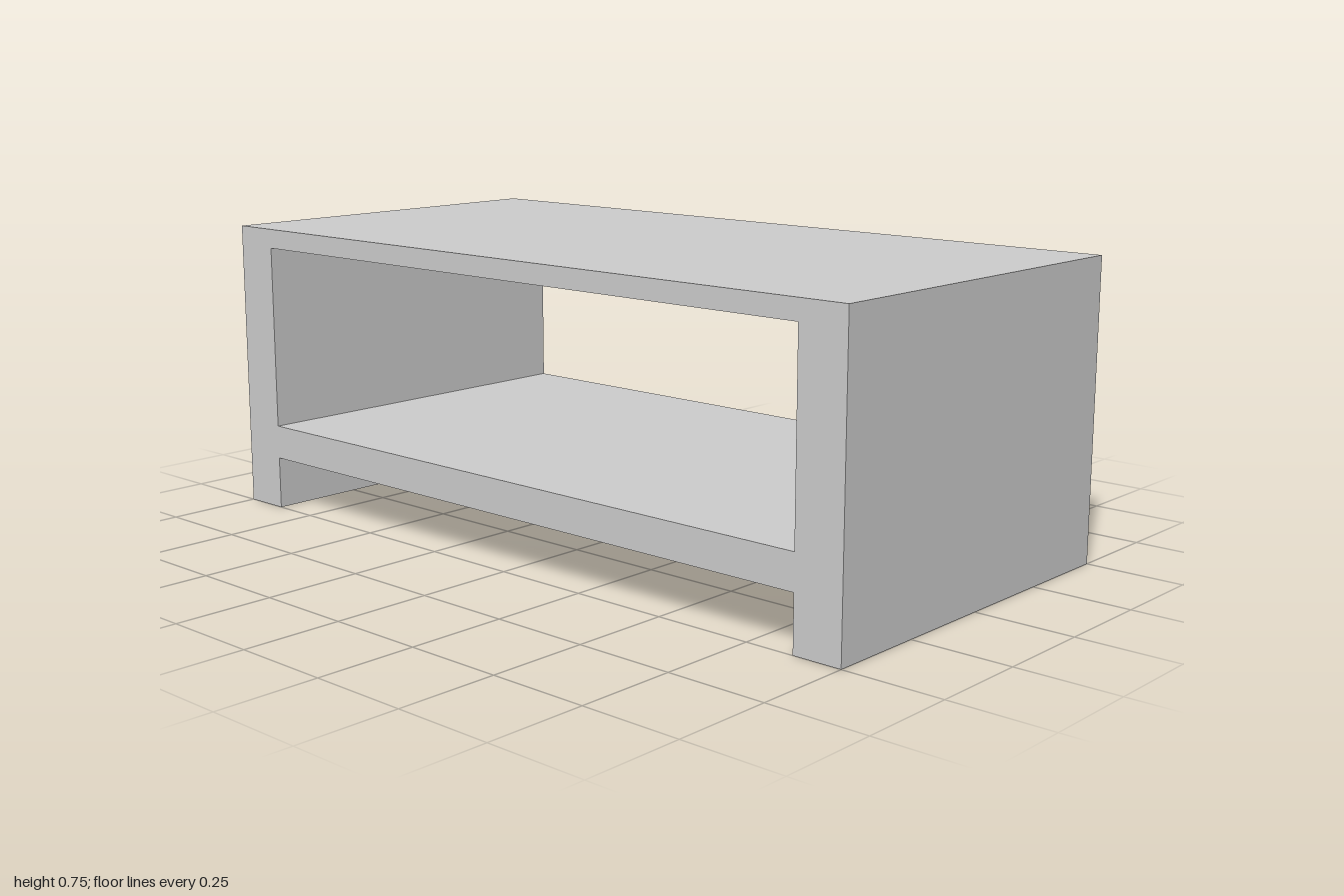
import * as THREE from 'three';

const LENGTH = 2, HEIGHT = 0.755, DEPTH = 1;
const SIDE = 0.125;                        // thickness of the end panels
const TOP_UNDERSIDE = 0.705;
const SHELF_TOP = 0.225, SHELF_BOTTOM = 0.137;

const path = (Type, points) => new Type(points.map(([u, y]) => new THREE.Vector2(u, y)));

export function createModel() {
  const group = new THREE.Group();
  group.name = 'coffeeTable';
  const outer = LENGTH / 2, inner = outer - SIDE;

  // Table outline: top, end panels and the notch beneath the shelf
  const profile = path(THREE.Shape, [
    [-outer, 0], [-inner, 0], [-inner, SHELF_BOTTOM], [inner, SHELF_BOTTOM],
    [inner, 0], [outer, 0], [outer, HEIGHT], [-outer, HEIGHT],
  ]);

  // Open compartment between shelf and top
  profile.holes.push(path(THREE.Path, [
    [-inner, SHELF_TOP], [-inner, TOP_UNDERSIDE], [inner, TOP_UNDERSIDE], [inner, SHELF_TOP],
  ]));

  // One solid body, extruded across x with its long side along z
  const geometry = new THREE.ExtrudeGeometry(profile, { depth: DEPTH, bevelEnabled: false });
  geometry.translate(0, 0, -DEPTH / 2).rotateY(Math.PI / 2);

  const body = new THREE.Mesh(geometry, new THREE.MeshStandardMaterial({ color: 0xcccccc }));
  body.name = 'tableBody';
  group.add(body);
  return group;
}
